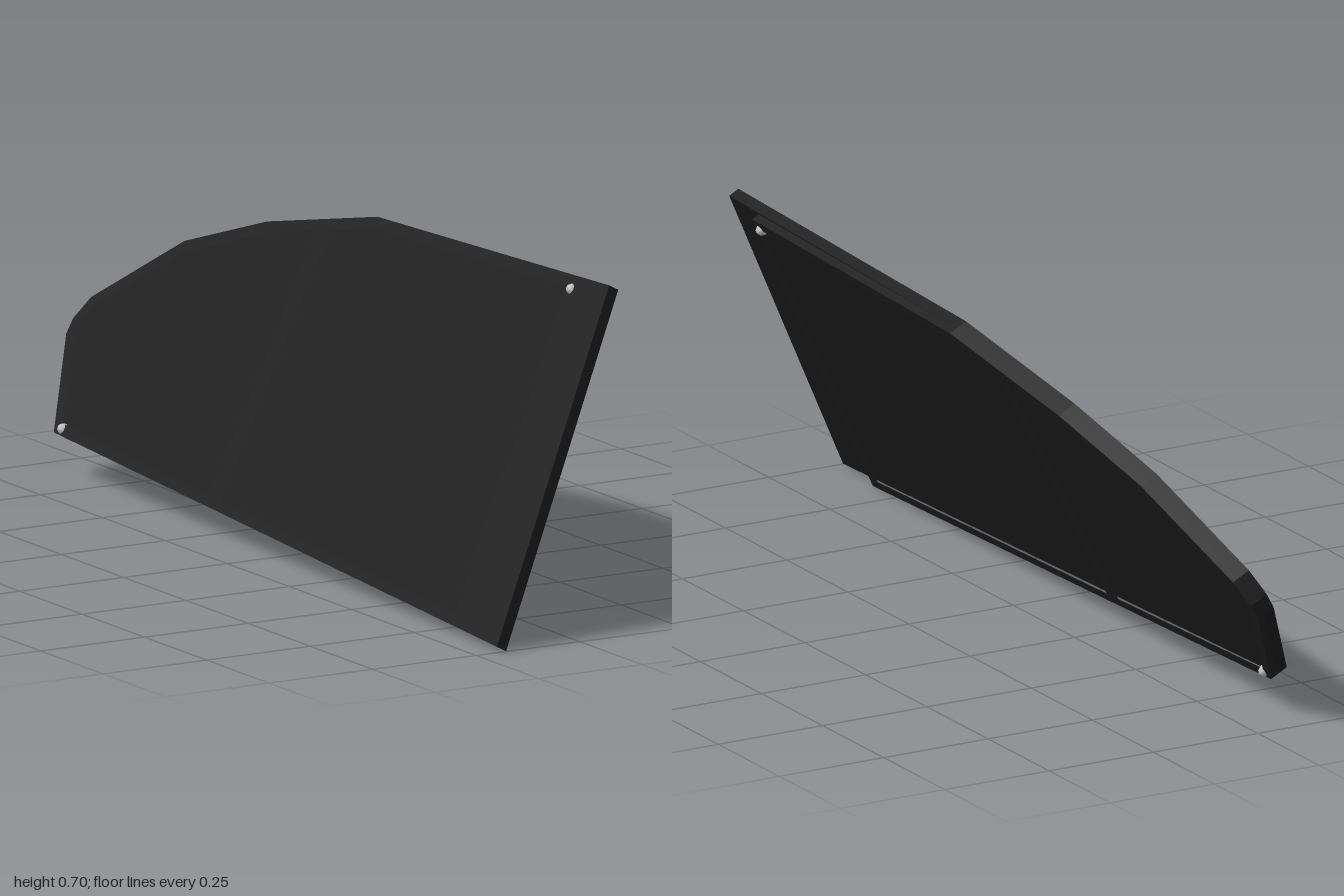
import * as THREE from 'three';

// Profiles are [z, u]: z runs along the panel, u runs up its slanted face.
const outline = [[1, 0], [0.83, 0.784], [-0.09, 0.752], [-0.47, 0.664], [-0.73, 0.567],
  [-0.97, 0.391], [-1, 0.337], [-1, 0.302], [-0.89, 0.101]];
const lowerOutline = [[0.84, 0.01], [0.715, 0.775], ...outline.slice(2)];
const frontPane = [[0.8, 0.035], [0.69, 0.752], [-0.08, 0.727], [-0.235, 0.693], [-0.195, 0.086]];
const rearPane = [[-0.245, 0.089], [-0.28, 0.683], [-0.46, 0.64], [-0.72, 0.542],
  [-0.95, 0.377], [-0.972, 0.333], [-0.972, 0.306], [-0.875, 0.125]];

const points = (list) => list.map(([z, u]) => new THREE.Vector2(-z, u));

// Maps (-z, u, depth) onto the leaning panel, with a slight yaw toward the tail.
const YAW = 0.011;
const lean = new THREE.Matrix4().set(
  0.881 * YAW, 0.473, 0.881, -0.2 + 0.881 * YAW,
  -0.473 * YAW, 0.881, -0.473, 0.015 - 0.473 * YAW,
  -1, 0, 0, 0,
  0, 0, 0, 1);

function layer(name, profile, from, to, material, holes = []) {
  const shape = new THREE.Shape(points(profile));
  holes.forEach((h) => shape.holes.push(new THREE.Path(points(h))));
  const geo = new THREE.ExtrudeGeometry(shape, { depth: to - from, bevelEnabled: false });
  geo.translate(0, 0, from);
  geo.applyMatrix4(lean);
  geo.computeVertexNormals();
  const mesh = new THREE.Mesh(geo, material);
  mesh.name = name;
  return mesh;
}

// Rounded stud passing through the panel
function stud(name, z, u, material) {
  const geo = new THREE.SphereGeometry(1, 10, 8);
  geo.scale(0.016, 0.016, 0.032);
  geo.translate(-z, u, 0.022);
  geo.applyMatrix4(lean);
  const mesh = new THREE.Mesh(geo, material);
  mesh.name = name;
  return mesh;
}

export function createModel() {
  const frame = new THREE.MeshStandardMaterial({ color: 0x1f1f1f });
  frame.name = 'frame black';
  const pane = new THREE.MeshStandardMaterial({ color: 0x1d1d1d });
  pane.name = 'pane black';
  const metal = new THREE.MeshStandardMaterial({ color: 0xc4c4c4 });
  metal.name = 'light metal';

  const group = new THREE.Group();
  group.name = 'slantedPanel';
  const holes = [frontPane, rearPane];
  group.add(
    // Main plate with a raised rim and crossbar on each face
    layer('corePlate', outline, 0.004, 0.025, pane),
    layer('upperFrame', outline, 0, 0.004, frame, holes),
    layer('lowerFrame', lowerOutline, 0.025, 0.043, frame, holes),
    // Panes set just below the lower rim
    layer('frontLowerPane', frontPane, 0.025, 0.038, pane),
    layer('rearLowerPane', rearPane, 0.025, 0.038, pane),
    stud('frontStud', 0.7, 0.75, metal),
    stud('rearStud', -0.868, 0.114, metal));
  return group;
}
